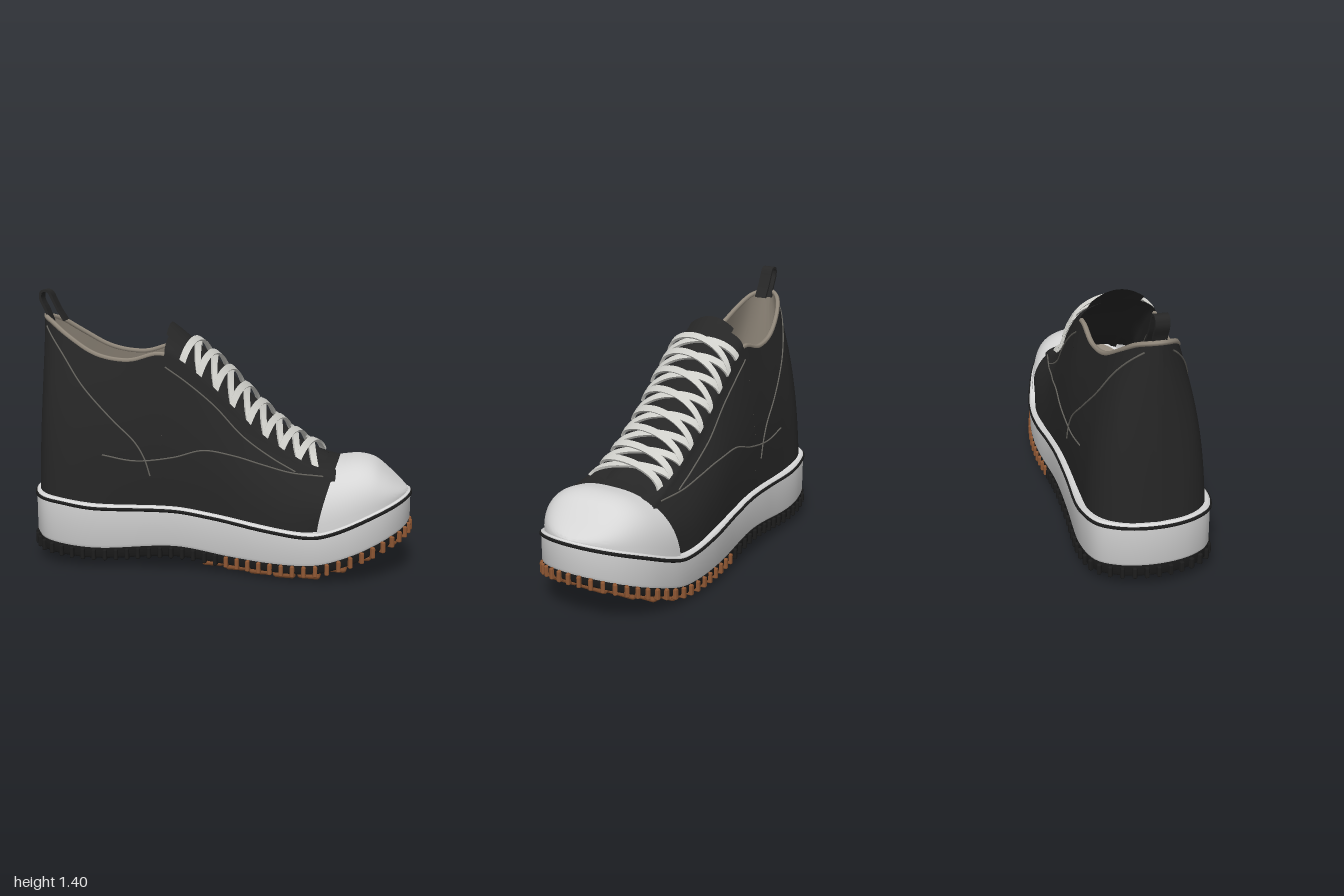
import * as THREE from 'three';
import { toCreasedNormals } from 'three/addons/utils/BufferGeometryUtils.js';
import { RoundedBoxGeometry } from 'three/addons/geometries/RoundedBoxGeometry.js';

const V = (x, y, z) => new THREE.Vector3(x, y, z);
const lerp = THREE.MathUtils.lerp;
const mat = (name, color) => new THREE.MeshStandardMaterial({ name, color, side: THREE.DoubleSide });

// smooth function through [x, y] points
function profile(...p) {
  const slope = i => {
    const a = p[Math.max(i - 1, 0)], b = p[Math.min(i + 1, p.length - 1)];
    return (b[1] - a[1]) / (b[0] - a[0]);
  };
  return x => {
    x = THREE.MathUtils.clamp(x, p[0][0], p[p.length - 1][0]);
    let i = 0;
    while (i < p.length - 2 && x > p[i + 1][0]) i++;
    const h = p[i + 1][0] - p[i][0], t = (x - p[i][0]) / h, t2 = t * t, t3 = t2 * t;
    return (2 * t3 - 3 * t2 + 1) * p[i][1] + (t3 - 2 * t2 + t) * h * slope(i)
      + (3 * t2 - 2 * t3) * p[i + 1][1] + (t3 - t2) * h * slope(i + 1);
  };
}

// heights along the shoe, and the sideways bend of the last
const soleTop = profile([-1, .375], [-.8, .36], [-.6, .335], [-.2, .335], [0, .31], [.3, .27], [.5, .255], [.6, .275], [.8, .355], [1, .43]);
const soleBot = profile([-1, .14], [-.6, .1], [-.2, .125], [.1, .09], [.5, .085], [.7, .14], [1, .26]);
const treadBot = profile([-1, .085], [-.6, .05], [-.2, .075], [.1, .05], [.5, .045], [.7, .1], [1, .225]);
const ridge = profile([-.26, 1.19], [-.15, 1.13], [0, 1.01], [.1, .91], [.2, .81], [.3, .72], [.4, .645], [.5, .59], [.62, .565]);
const edgeY = profile([-.26, 1.1], [0, .9], [.2, .715], [.4, .59], [.62, .5]);
const capTop = profile([.5, .55], [.62, .572], [.72, .585], [.8, .567], [.86, .522], [.92, .468], [.975, .42]);
const bend = profile([-1, 0], [-.8, -.006], [-.4, -.02], [0, -.03], [.3, -.015], [.5, 0], [.7, .016], [.9, .004], [1, 0]);
const midWidth = profile([-.75, .312], [-.4, .305], [0, .31], [.25, .342], [.45, .355]);

function halfWidth(x) {
  const end = (k, e) => Math.sqrt(Math.max(0, 1 - Math.pow(k, e)));
  if (x > .45) return .355 * end((x - .45) / .535, 2.6);
  if (x < -.75) return .312 * end((-.75 - x) / .235, 2.4);
  return midWidth(x);
}

// surface through a grid of points
function loft(rows, crease = .7) {
  const n = rows[0].length, index = [];
  for (let i = 0; i < rows.length - 1; i++) for (let j = 0; j < n - 1; j++) {
    const a = i * n + j, d = a + n;
    index.push(a, a + 1, d, a + 1, d + 1, d);
  }
  const g = new THREE.BufferGeometry().setFromPoints(rows.flat());
  g.setIndex(index);
  return toCreasedNormals(g, crease);
}

// flat band along points; across(i) is its width direction
function ribbon(pts, across, width, thick) {
  return loft(pts.map((p, i) => {
    const t = pts[Math.min(i + 1, pts.length - 1)].clone().sub(pts[Math.max(i - 1, 0)]);
    const w = across(i).normalize(), n = w.clone().cross(t).normalize();
    return [[1, 1], [1, -1], [-1, -1], [-1, 1], [1, 1]].map(([a, b]) =>
      p.clone().addScaledVector(w, a * width / 2).addScaledVector(n, b * thick / 2));
  }));
}

// sole outline, from the heel round by +z
const xs = [-.985, -.975, -.945, -.88, -.75, -.4, 0, .25, .45, .6, .75, .87, .94, .975, .985];
const outlineCurve = new THREE.CatmullRomCurve3([
  ...xs.map(x => V(x, 0, halfWidth(x))),
  ...xs.slice(1, -1).reverse().map(x => V(x, 0, -halfWidth(x)))], true);
function outline(inset, yOf, flat = 1, n = 160) {
  const pts = outlineCurve.getSpacedPoints(n).slice(0, n);
  const out = pts.map((p, i) => {
    const t = pts[(i + 1) % n].clone().sub(pts[(i + n - 1) % n]).normalize();
    const q = V(p.x + t.z * inset, 0, (p.z - t.x * inset) * flat);
    q.y = yOf(q.x);
    return q;
  });
  return [...out, out[0].clone()];
}

// upper: lower edge and top edge share one parameter, heel = 0, toe = 1
const lower = new THREE.CatmullRomCurve3([[-.968, 0], [-.945, .14], [-.88, .238], [-.78, .283], [-.6, .282], [-.4, .278],
  [-.26, .278], [0, .285], [.2, .308], [.4, .328], [.62, .315]].map(([x, z]) => V(x, soleTop(x) - .01, z)));
const upper = new THREE.CatmullRomCurve3([V(-.94, 1.27, 0), V(-.92, 1.262, .04), V(-.87, 1.24, .09), V(-.78, 1.18, .135),
  V(-.62, 1.09, .172), V(-.45, 1.065, .187), V(-.26, edgeY(-.26), .19),
  ...[[0, .2], [.2, .2], [.4, .215], [.62, .25]].map(([x, z]) => V(x, edgeY(x), z))]);
const REAR = .6;
function side(u, v, inset = 0) {
  const p = lower.getPoint(u).lerp(upper.getPoint(u), v);
  const fade = Math.min(1, p.z / .15);
  p.z = Math.max(0, p.z + fade * (.03 * Math.sin(Math.PI * Math.min(v, 1)) - inset));
  p.x += inset * (1 - fade);
  return p;
}
function onSide(x, y) {
  let lo = 0, hi = 1, p;
  for (let i = 0; i < 30; i++) {
    const u = (lo + hi) / 2, b = lower.getPoint(u).y, e = upper.getPoint(u).y;
    p = side(u, (y - b) / (e - b), -.002);
    if (p.x < x) lo = u; else hi = u;
  }
  return p;
}
const mirrorZ = p => V(p.x, p.y, -p.z);
const steps = n => Array.from({ length: n + 1 }, (_, i) => i / n);

export function createModel() {
  const group = new THREE.Group();
  const black = mat('black canvas', 0x262626), rubber = mat('black rubber', 0x1c1c1c);
  const white = mat('white rubber', 0xd6d6d6), lace = mat('lace', 0xcfcfca);
  const brown = mat('brown tread', 0x8f5733), lining = mat('lining', 0x91887b), thread = mat('stitching', 0x66645e);

  const add = (name, geo, material) => {
    const a = geo.attributes.position;
    for (let i = 0; i < a.count; i++) a.setZ(i, a.getZ(i) + bend(a.getX(i)));
    const m = new THREE.Mesh(geo, material);
    m.name = name;
    group.add(m);
  };
  const tube = (pts, r, closed = false) =>
    new THREE.TubeGeometry(new THREE.CatmullRomCurve3(pts, closed), closed ? 200 : 64, r, 6, closed);

  // platform, dark stripe and outsole
  add('platform', loft([outline(.01, soleBot), outline(0, x => soleBot(x) + .02), outline(0, x => soleTop(x) - .008),
    outline(.008, soleTop), outline(.05, soleTop), outline(.05, soleTop, 0)]), white);
  add('platformStripe', tube(outline(0, x => soleTop(x) - .02).slice(0, -1), .009, true), rubber);
  add('outsole', loft([outline(.01, treadBot, 0), outline(.01, treadBot), outline(.003, x => treadBot(x) + .01),
    outline(.003, x => soleBot(x) + .005), outline(.03, x => soleBot(x) + .005)]), rubber);

  // ribs round the outsole edge
  const ribs = outline(.004, x => (soleBot(x) + treadBot(x)) / 2, 1, 82);
  for (let i = 0; i < 82; i++) {
    const p = ribs[i], t = ribs[i + 1].clone().sub(p);
    const g = new RoundedBoxGeometry(.022, .058, .034, 1, .007);
    g.rotateY(-Math.atan2(t.z, t.x)).translate(p.x, p.y - .004, p.z);
    add('edgeRib', g, p.x > .05 ? brown : rubber);
  }

  // paired lugs under the forefoot
  const lugs = [[0, .022], [.125, .012], [.25, .005], [.375, 0], [.5, .006], [.63, .048], [.75, .103], [.87, .162]];
  for (const [x, y] of lugs) for (const s of [1, -1]) {
    const w = halfWidth(x + .03) - .045;
    const g = new RoundedBoxGeometry(.118, .06, w, 3, .02);
    g.translate(x, y + .03, s * (w / 2 + .003));
    add('lug', g, brown);
  }

  // rear walls, lining and footbed
  const wall = inset => loft(steps(20).map(v => [
    ...steps(50).reverse().map(k => mirrorZ(side(k * REAR, v, inset))),
    ...steps(50).slice(1).map(k => side(k * REAR, v, inset))]), 1);
  add('rearUpper', wall(0), black);
  add('lining', wall(.018), lining);
  add('footbed', loft([outline(.05, x => soleTop(x) + .012), outline(.05, x => soleTop(x) + .012, 0)]), lining);
  const rim = steps(24).map(k => side(k * REAR, 1, .008));
  add('collarBinding', tube([...rim.slice(1).reverse().map(mirrorZ), ...rim], .013), lining);

  // vamp: both sides joined over the instep
  const us = steps(40).map(k => lerp(REAR, 1, k));
  const vampSide = steps(16).map(v => us.map(u => side(u, v)));
  const arch = steps(20).slice(1, -1).map(k => us.map(u => {
    const e = side(u, 1), a = k * Math.PI;
    return V(e.x, e.y + (ridge(e.x) - e.y) * Math.sin(a), e.z * Math.cos(a));
  }));
  add('vamp', loft([...vampSide, ...arch, ...vampSide.slice().reverse().map(r => r.map(mirrorZ))], 1), black);

  // tongue, with its tip rising above the collar
  const tongueLine = [[-.262, 1.245], [-.22, 1.215], [-.16, 1.165], [0, 1.03], [.2, .83], [.4, .66], [.56, .59]];
  add('tongue', loft(steps(12).map(k => tongueLine.map(([x, y]) => {
    const c = 1 - 2 * k;
    return V(x, y - .05 * c * c, .13 * c);
  }))), black);

  // toe cap
  add('toeCap', loft(steps(36).map(k => steps(28).map(t => {
    const a = k * Math.PI, c = Math.cos(a), h = Math.max(0, Math.sin(a));
    const x = lerp(.54 + .08 * h, .975, Math.sin(t * Math.PI / 2));
    const base = soleTop(x) - .006;
    return V(x, base + Math.max(0, capTop(x) - base) * Math.pow(h, .75),
      Math.max(0, halfWidth(x + .012) - .012) * Math.sign(c) * Math.pow(Math.abs(c), .8));
  })), 1), white);

  // crossed laces
  for (let i = 0; i < 8; i++) for (const s of [1, -1]) {
    const x0 = -.165 + i * .085;
    const pts = steps(20).map(k => {
      const a = lerp(.2, Math.PI - .2, k), x = x0 + k * .085, e = edgeY(x) + .012;
      return V(x, e + (ridge(x) + .045 + s * .006 - e) * Math.sin(a), s * .208 * Math.cos(a));
    });
    add('lace', ribbon(pts, j => V(.04, ridge(pts[j].x + .02) - ridge(pts[j].x - .02), 0), .036, .014), lace);
  }

  // heel pull loop
  const loop = new THREE.CatmullRomCurve3([[-.9, 1.235], [-.925, 1.3], [-.952, 1.36], [-.945, 1.394], [-.91, 1.394],
    [-.885, 1.35], [-.86, 1.3], [-.825, 1.245]].map(([x, y]) => V(x, y, 0))).getPoints(40);
  add('pullLoop', ribbon(loop, () => V(0, 0, 1), .066, .013), black);

  // stitched seams on both sides
  const seams = [
    [[-.91, 1.22], [-.8, 1.09], [-.68, .93], [-.52, .77], [-.4, .66], [-.35, .58], [-.32, .49]],
    [[-.57, .59], [-.4, .565], [-.2, .59], [-.05, .63], [.1, .61], [.25, .57], [.4, .535], [.56, .525]],
    [[-.255, 1.04], [-.15, .97], [0, .85], [.15, .7], [.3, .6], [.42, .54]]];
  for (const seam of seams) {
    const flat = new THREE.CatmullRomCurve3(seam.map(([x, y]) => V(x, y, 0))).getPoints(30);
    const pts = flat.map(p => onSide(p.x, p.y));
    add('seam', tube(pts, .004), thread);
    add('seam', tube(pts.map(mirrorZ), .004), thread);
  }
  return group;
}
